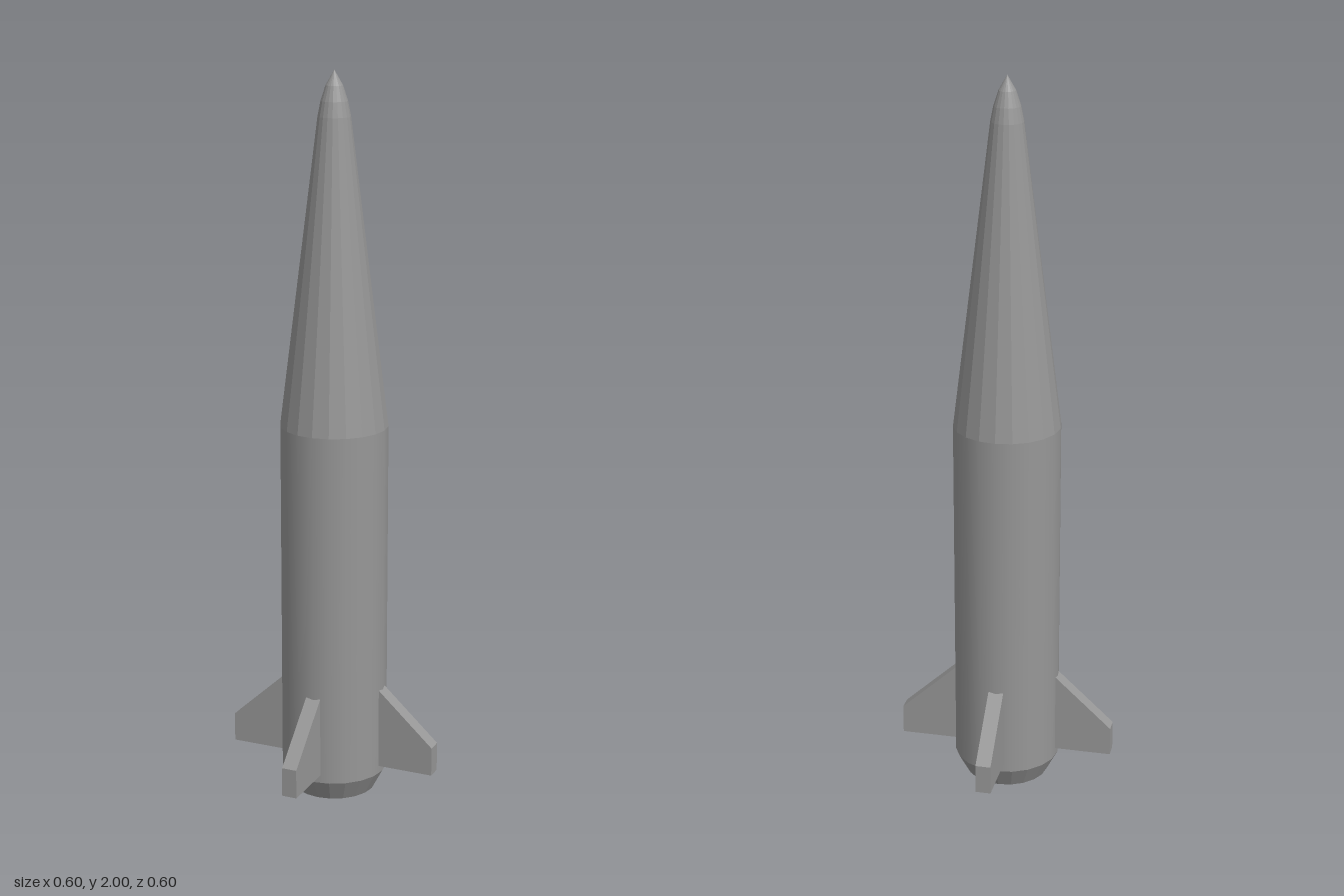
import * as THREE from 'three';

const SIDES = 20;

function paint(options = {}) {
  return new THREE.MeshStandardMaterial({ color: 0x979797, ...options });
}

// Turned part from [radius, height] pairs listed from bottom to top.
function turned(name, profile, options) {
  const points = profile.map(([r, y]) => new THREE.Vector2(r, y));
  const mesh = new THREE.Mesh(new THREE.LatheGeometry(points, SIDES), paint(options));
  mesh.name = name;
  return mesh;
}

export function createModel() {
  const rocket = new THREE.Group();
  rocket.name = 'rocket';

  // Hull: tapered tail, straight body, faceted cone and pointed tip
  rocket.add(
    turned('tailTaper', [[0.115, 0], [0.147, 0.06]], { flatShading: true }),
    turned('body', [[0.147, 0.06], [0.147, 1.05]]),
    turned('noseCone', [[0.147, 1.05], [0.044, 1.88]], { flatShading: true }),
    turned('noseTip', [[0.044, 1.88], [0.036, 1.92], [0.023, 1.96], [0, 2]], { flatShading: true })
  );

  // Open exhaust bore with a flat end deep inside the body
  rocket.add(
    turned('exhaustBore', [[0.115, 0], [0.115, 0.3]], { side: THREE.DoubleSide }),
    turned('boreEnd', [[0.115, 0.3], [0, 0.3]], { side: THREE.DoubleSide })
  );

  // Four swept fins, their roots sunk into the body
  const outline = new THREE.Shape([
    [0.135, 0.082], [0.302, 0.082], [0.302, 0.163], [0.135, 0.316]
  ].map(([x, y]) => new THREE.Vector2(x, y)));
  const finGeometry = new THREE.ExtrudeGeometry(outline, { depth: 0.042, bevelEnabled: false });
  finGeometry.translate(0, 0, -0.021);
  ['leftFin', 'backFin', 'rightFin', 'frontFin'].forEach((name, i) => {
    const fin = new THREE.Mesh(finGeometry, paint({ flatShading: true }));
    fin.name = name;
    fin.rotation.y = i * Math.PI / 2;
    rocket.add(fin);
  });

  return rocket;
}
